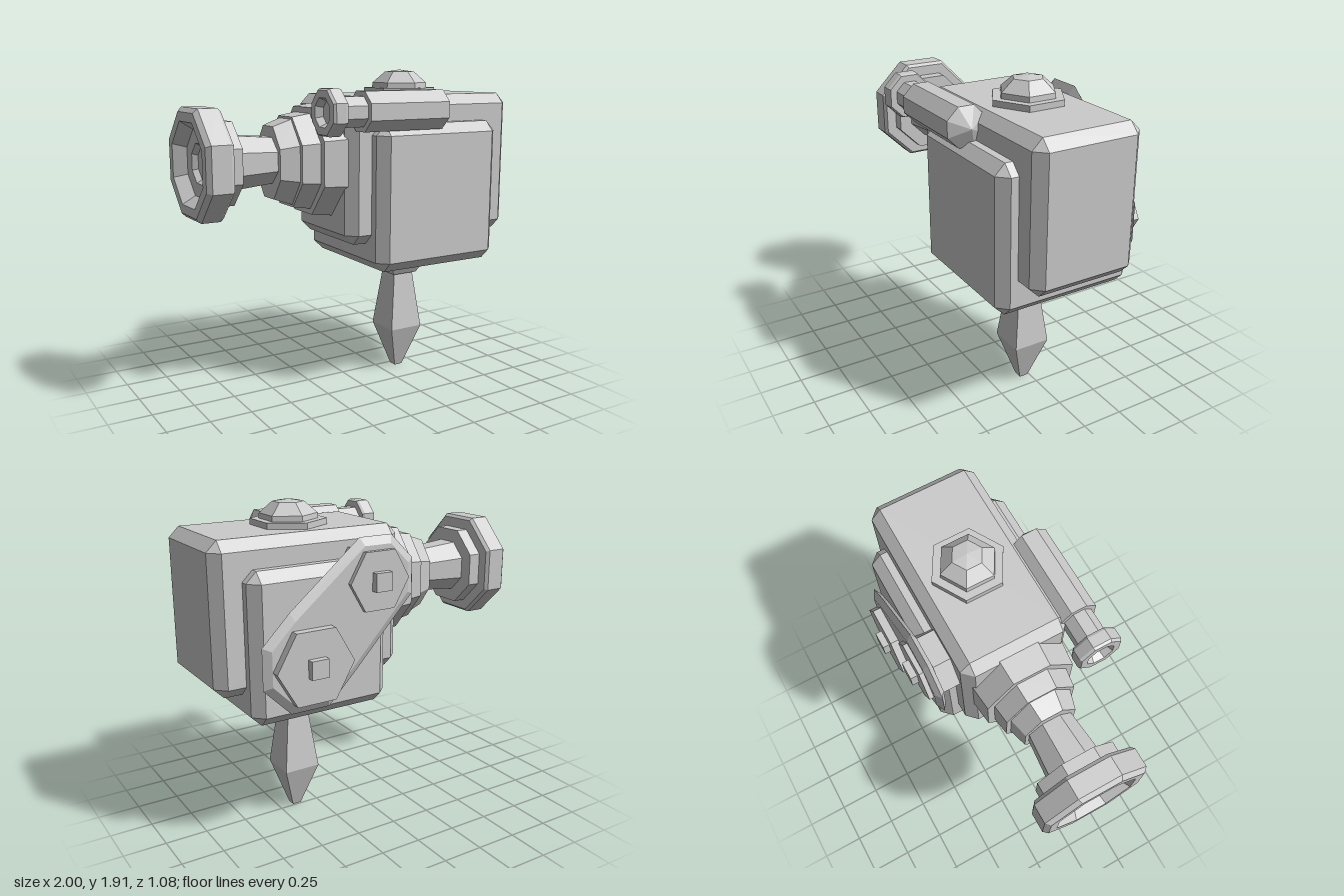
import * as THREE from 'three';
import { ConvexGeometry } from 'three/addons/geometries/ConvexGeometry.js';

export function createModel() {
  const model = new THREE.Group();
  const material = new THREE.MeshStandardMaterial({ color: 0xcccccc, flatShading: true });

  const add = (name, geometry, x = 0, y = 0, z = 0) => {
    const mesh = new THREE.Mesh(geometry, material);
    mesh.name = name;
    mesh.position.set(x, y, z);
    model.add(mesh);
    return mesh;
  };

  // Box with every edge cut off by c, given by its lower and upper corners
  const chamferBox = (name, lo, hi, c) => {
    const half = lo.map((v, i) => (hi[i] - v) / 2);
    const points = [];
    for (const sx of [-1, 1]) for (const sy of [-1, 1]) for (const sz of [-1, 1]) {
      for (let full = 0; full < 3; full++) {
        const p = [sx, sy, sz].map((s, i) => s * (half[i] - (i === full ? 0 : c)));
        points.push(new THREE.Vector3(...p));
      }
    }
    return add(name, new ConvexGeometry(points), ...lo.map((v, i) => (v + hi[i]) / 2));
  };

  // Faceted turned part; profile is [radius, height] from bottom to top
  const turned = (name, profile, sides, phase, x, y, z) => {
    const points = profile.map(([r, h]) => new THREE.Vector2(r, h));
    return add(name, new THREE.LatheGeometry(points, sides, phase), x, y, z);
  };
  // Octagonal part whose profile heights run toward -x
  const sideways = (name, profile, y, z) => {
    const mesh = turned(name, profile, 8, Math.PI / 8, 0, y, z);
    mesh.rotation.z = Math.PI / 2;
    return mesh;
  };

  // Housing: wide upper case and deeper lower case
  chamferBox('upperCase', [-0.165, 0.91, -0.29], [1, 1.765, 0.36], 0.06);
  chamferBox('lowerCase', [-0.02, 0.75, -0.395], [0.835, 1.605, 0.465], 0.06);

  // Stepped bellows: [start, end, half height, half depth at start, at end]
  const steps = [
    [0.1, 0.295, 0.32, 0.285, 0.265],
    [0.25, 0.405, 0.27, 0.23, 0.21],
    [0.38, 0.515, 0.23, 0.19, 0.155],
  ];
  for (const [start, end, h, d0, d1] of steps) {
    const k = Math.cos(Math.PI / 8);
    const fold = sideways('bellowsFold',
      [[0, start], [d0 / k, start], [d1 / k, end], [0, end]], 1.39, 0.035);
    fold.scale.x = h / ((d0 + d1) / 2);
  }

  // Lens barrel with flared hood and recessed glass
  sideways('lens', [
    [0.14, 0.5], [0.165, 0.77], [0.25, 0.77], [0.25, 0.845],
    [0.315, 0.845], [0.332, 0.865], [0.332, 0.975], [0.305, 1],
    [0.25, 1], [0.2, 0.93], [0.12, 0.93], [0.1, 0.9], [0, 0.9],
  ], 1.405, 0.032);

  // Viewfinder along the upper front edge
  sideways('viewfinder', [
    [0, -0.46], [0.121, -0.4], [0.121, 0.13], [0.09, 0.13], [0.09, 0.28],
    [0.13, 0.28], [0.138, 0.295], [0.138, 0.355], [0.128, 0.37],
    [0.085, 0.37], [0.065, 0.33], [0, 0.33],
  ], 1.685, 0.41);

  // Knob on top: hexagonal plate and dome
  turned('knob', [
    [0.218, 1.74], [0.218, 1.8], [0.168, 1.8], [0.165, 1.83],
    [0.09, 1.895], [0, 1.908],
  ], 6, 0, 0.39, 0, 0.028);

  // Reels on the back, each with a square hub: [x, y, radius, inner z, outer z]
  const reels = [
    [0.1, 1.5, 0.19, -0.27, -0.477],
    [0.517, 1.085, 0.237, -0.37, -0.5],
  ];
  for (const [x, y, r, inner, outer] of reels) {
    const reel = turned('reel',
      [[0, -inner], [r, -inner], [r, -outer], [0, -outer]], 6, Math.PI / 6, x, y, 0);
    reel.rotation.x = -Math.PI / 2;
    add('reelHub', new THREE.BoxGeometry(0.105, 0.105, 0.08), x, y, outer);
  }

  // Bevelled belt plate wrapped around both reels
  const rim = [];
  for (const [z, inset] of [[-0.395, 0.05], [-0.422, 0], [-0.45, 0.05]]) {
    for (const [x, y, r] of [[0.1, 1.49, 0.27], [0.517, 1.1, 0.308]]) {
      for (let i = 0; i < 8; i++) {
        const a = (i + 0.5) * Math.PI / 4;
        rim.push(new THREE.Vector3(x + (r - inset) * Math.cos(a), y + (r - inset) * Math.sin(a), z));
      }
    }
  }
  add('beltPlate', new ConvexGeometry(rim));

  // Four-sided grip: collar, then a blade tapering to a blunt point
  const grip = [
    [0, 0], [0.027, 0], [0.112, 0.275], [0.068, 0.632],
    [0.085, 0.632], [0.105, 0.67], [0.105, 0.77],
  ].map(([half, h]) => [half * Math.SQRT2, h]);
  turned('grip', grip, 4, Math.PI / 4, 0.387, 0, 0.038);

  return model;
}
